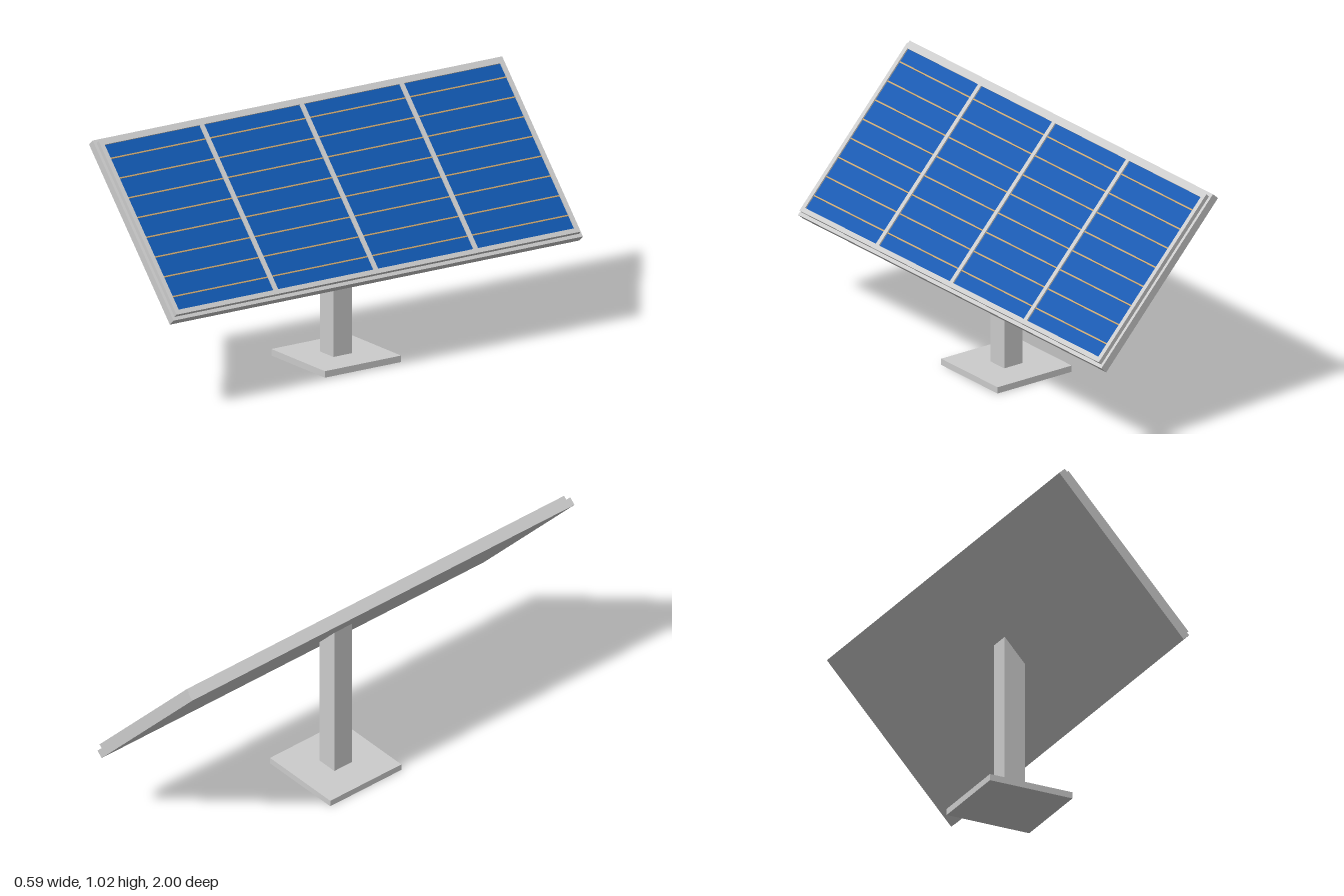
import * as THREE from 'three';

const grey = new THREE.MeshStandardMaterial({ color: 0xcccccc });
const blue = new THREE.MeshStandardMaterial({ color: 0x1058b0 });
const tan = new THREE.MeshStandardMaterial({ color: 0xc8a46e });

function box(parent, name, size, pos, material = grey) {
  const mesh = new THREE.Mesh(new THREE.BoxGeometry(...size), material);
  mesh.position.set(...pos);
  mesh.name = name;
  parent.add(mesh);
  return mesh;
}

export function createModel() {
  const model = new THREE.Group();
  model.name = 'solarPanel';
  const mid = 0.003; // stand axis in x and z

  // Square foot
  box(model, 'base', [0.372, 0.027, 0.372], [mid, 0.0135, mid]);

  // Square post, its top cut to the slope of the panel
  const backY = (x) => 0.689 - (x + 0.015) * 1.093;
  const [x0, x1] = [mid - 0.046, mid + 0.046];
  const side = new THREE.Shape([
    new THREE.Vector2(x0, 0.027), new THREE.Vector2(x1, 0.027),
    new THREE.Vector2(x1, backY(x1)), new THREE.Vector2(x0, backY(x0)),
  ]);
  const post = new THREE.Mesh(new THREE.ExtrudeGeometry(side, { depth: 0.092, bevelEnabled: false }), grey);
  post.position.z = mid - 0.046;
  post.name = 'post';
  model.add(post);

  // Tilted panel: local x runs down the slope, local y is its outward normal
  const panel = new THREE.Group();
  panel.name = 'panel';
  panel.position.set(-0.015, 0.689, 0);
  panel.rotation.z = -Math.atan(1.093);
  model.add(panel);

  box(panel, 'backPlate', [0.83, 0.034, 2], [0, 0.017, 0]);

  // Raised frame around the cells
  const L = 0.8, W = 1.974, rim = 0.02, deep = 0.018, frameY = 0.034 + deep / 2;
  for (const s of [-1, 1]) {
    box(panel, 'frameLongRail', [rim, deep, W], [s * (L - rim) / 2, frameY, 0]);
    box(panel, 'frameEndRail', [L - 2 * rim, deep, rim], [0, frameY, s * (W - rim) / 2]);
  }

  // Blue cell sheet sunk a little below the frame
  box(panel, 'cells', [L - 2 * rim, 0.012, W - 2 * rim], [0, 0.04, 0], blue);

  // Three cross bars level with the frame
  for (let i = -1; i <= 1; i++) {
    box(panel, 'crossBar', [L - 2 * rim, deep, rim], [0, frameY, mid + i * 0.488]);
  }

  // Thin conductor strips along the panel
  for (let i = 0; i < 8; i++) {
    box(panel, 'conductor', [0.006, 0.014, W - 2 * rim], [(i - 3.5) * 0.091, 0.041, 0], tan);
  }
  return model;
}
